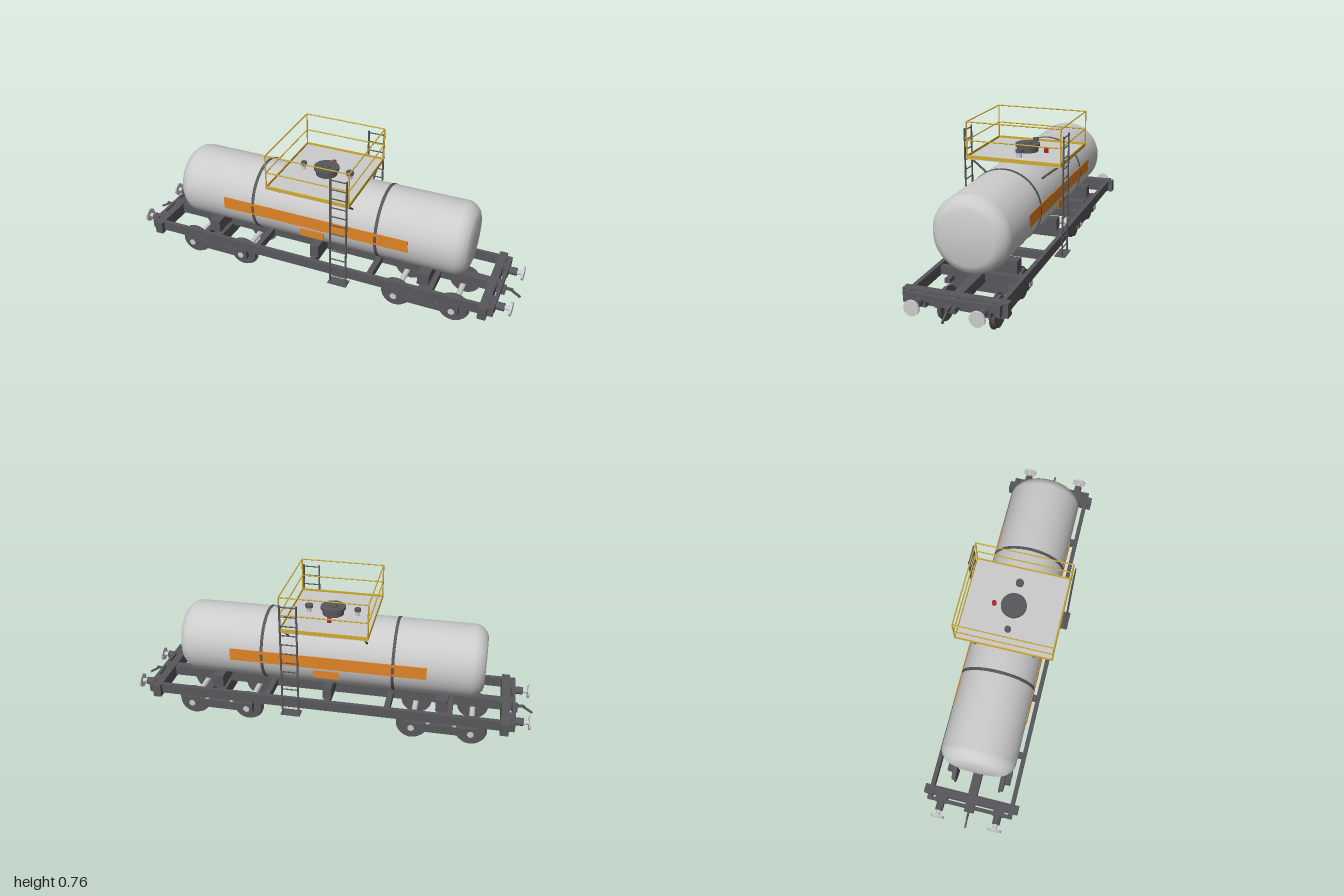
import * as THREE from 'three';
import { toCreasedNormals } from 'three/addons/utils/BufferGeometryUtils.js';

const mat = (color) => new THREE.MeshStandardMaterial({ color });

export function createModel() {
  const root = new THREE.Group();
  const grey = mat(0xcccccc), dark = mat(0x58585c), yellow = mat(0xd0ac30);
  const orange = mat(0xe08426), red = mat(0xb02828);

  const add = (name, geo, m, x = 0, y = 0, z = 0, parent = root) => {
    const mesh = new THREE.Mesh(geo, m);
    mesh.name = name;
    mesh.position.set(x, y, z);
    parent.add(mesh);
    return mesh;
  };
  // Box given by its limits on each axis
  const box = (name, m, x0, x1, y0, y1, z0, z1, parent) =>
    add(name, new THREE.BoxGeometry(x1 - x0, y1 - y0, z1 - z0), m,
      (x0 + x1) / 2, (y0 + y1) / 2, (z0 + z1) / 2, parent);
  // Round bar between two points
  const bar = (name, m, a, b, r, seg = 20, parent = root) => {
    const p = new THREE.Vector3(...a), d = new THREE.Vector3(...b).sub(p);
    const mesh = add(name, new THREE.CylinderGeometry(r, r, d.length(), seg), m, 0, 0, 0, parent);
    mesh.position.copy(p).addScaledVector(d, 0.5);
    mesh.quaternion.setFromUnitVectors(new THREE.Vector3(0, 1, 0), d.normalize());
    return mesh;
  };
  const group = (name) => {
    const g = new THREE.Group();
    g.name = name;
    root.add(g);
    return g;
  };
  const sides = [-1, 1];

  // Tank barrel with dished ends
  const half = [[0, 0.75], [0.125, 0.75], [0.145, 0.742], [0.165, 0.722], [0.175, 0.703], [0.178, 0.688]];
  const profile = [...half.map(([r, x]) => [r, -x]), ...half.slice().reverse()];
  const tankGeo = new THREE.LatheGeometry(profile.map(([r, x]) => new THREE.Vector2(r, x)), 64);
  add('tank', toCreasedNormals(tankGeo, 0.5), grey, 0, 0.404, 0).rotation.z = -Math.PI / 2;
  for (const s of sides) {
    bar('tankBand', dark, [s * 0.32 - 0.007, 0.404, 0], [s * 0.32 + 0.007, 0.404, 0], 0.181, 64);
    box('sideStripe', orange, -0.48, 0.48, 0.375, 0.437, s * 0.178 - 0.002, s * 0.178 + 0.002);
    box('sidePlate', orange, -0.062, 0.062, 0.325, 0.365, s * 0.18 - 0.001, s * 0.18 + 0.001);
  }

  // Saddles under the tank
  for (const [x, w] of [[-0.56, 0.028], [0, 0.022], [0.56, 0.028]])
    box('saddle', dark, x - w, x + w, 0.195, 0.259, -0.16, 0.16);

  // Underframe
  const frame = group('underframe');
  box('centreSill', dark, -0.9, 0.9, 0.155, 0.205, -0.022, 0.022, frame);
  for (const s of sides)
    box('sideSill', dark, -0.91, 0.91, 0.158, 0.208, s * 0.2 - 0.01, s * 0.2 + 0.01, frame);
  for (const x of [-0.6, -0.3, 0, 0.3, 0.6])
    box('crossMember', dark, x - 0.014, x + 0.014, 0.162, 0.2, -0.2, 0.2, frame);
  for (const s of sides) {
    box('endBeam', dark, s * 0.863 - 0.02, s * 0.863 + 0.02, 0.146, 0.209, -0.233, 0.233, frame);
    box('headstock', dark, s * 0.903 - 0.008, s * 0.903 + 0.008, 0.175, 0.205, -0.208, 0.208, frame);
  }

  // Buffers and coupling hooks
  for (const s of sides) {
    for (const z of [-0.142, 0.142]) {
      box('bufferBase', dark, s * 0.895 - 0.016, s * 0.895 + 0.016, 0.15, 0.205, z - 0.028, z + 0.028);
      bar('bufferSleeve', dark, [s * 0.9, 0.176, z], [s * 0.95, 0.176, z], 0.019);
      bar('bufferShaft', grey, [s * 0.94, 0.176, z], [s * 0.98, 0.176, z], 0.011);
      bar('bufferHead', grey, [s * 0.974, 0.176, z], [s * 0.984, 0.176, z], 0.034, 32);
    }
    box('couplerBlock', dark, s * 0.913 - 0.012, s * 0.913 + 0.012, 0.15, 0.176, -0.024, 0.024);
    box('couplerShank', dark, s * 0.935 - 0.025, s * 0.935 + 0.025, 0.168, 0.18, -0.005, 0.005);
    const hook = add('couplerHook', new THREE.BoxGeometry(0.055, 0.01, 0.008), dark, s * 0.974, 0.157, 0);
    hook.rotation.z = -s * 0.55;
  }

  // Bogies: two wheelsets each, side frames, springs, bolster
  const tread = [[0, -0.011], [0.07, -0.011], [0.073, 0.004], [0.079, 0.005], [0.079, 0.011], [0, 0.011]]
    .map(([r, y]) => new THREE.Vector2(r, y));
  const wheelGeo = toCreasedNormals(new THREE.LatheGeometry(tread, 40), 0.5);
  for (const c of [-0.565, 0.565]) {
    const bogie = group('bogie');
    box('bolster', dark, c - 0.03, c + 0.03, 0.098, 0.165, -0.14, 0.14, bogie);
    for (const s of sides) {
      box('sideFrame', dark, c - 0.165, c + 0.165, 0.066, 0.11, s * 0.146 - 0.013, s * 0.146 + 0.013, bogie);
      for (const d of [-0.065, 0.065])
        bar('spring', grey, [c + d, 0.108, s * 0.145], [c + d, 0.14, s * 0.145], 0.011, 16, bogie);
      box('springPlate', dark, c - 0.08, c + 0.08, 0.138, 0.158, s * 0.145 - 0.013, s * 0.145 + 0.013, bogie);
    }
    for (const x of [c - 0.145, c + 0.145]) {
      bar('axle', grey, [x, 0.08, -0.15], [x, 0.08, 0.15], 0.014, 20, bogie);
      for (const s of sides) {
        add('wheel', wheelGeo, dark, x, 0.079, s * 0.121, bogie).rotation.x = -s * Math.PI / 2;
        box('axleBox', dark, x - 0.032, x + 0.032, 0.062, 0.115, s * 0.147 - 0.014, s * 0.147 + 0.014, bogie);
        bar('axleCap', grey, [x, 0.082, s * 0.155], [x, 0.082, s * 0.164], 0.016, 20, bogie);
      }
    }
  }

  // Walkway deck with toe boards and railing
  const PX = 0.208, PZ = 0.233;
  const deck = group('platform');
  box('deck', grey, -PX, PX, 0.579, 0.589, -PZ, PZ, deck);
  for (const s of sides) {
    box('toeBoard', yellow, -PX, PX, 0.583, 0.6, s * PZ - 0.002, s * PZ + 0.002, deck);
    box('toeBoard', yellow, s * PX - 0.002, s * PX + 0.002, 0.583, 0.6, -PZ, PZ, deck);
    for (const y of [0.672, 0.761]) {
      bar('rail', yellow, [-PX, y, s * PZ], [PX, y, s * PZ], 0.003, 8, deck);
      bar('rail', yellow, [s * PX, y, -PZ], [s * PX, y, PZ], 0.003, 8, deck);
    }
    for (const t of sides) {
      bar('railPost', yellow, [s * PX, 0.585, t * PZ], [s * PX, 0.763, t * PZ], 0.0035, 8, deck);
      bar('platformBrace', dark, [s * 0.19, 0.58, t * 0.218], [s * 0.19, 0.51, t * 0.13], 0.005, 10, deck);
    }
  }

  // Manhole, valves and relief valve on top
  bar('manholeNeck', dark, [0, 0.57, 0], [0, 0.616, 0], 0.052, 40);
  bar('manholeLid', dark, [0, 0.616, 0], [0, 0.629, 0], 0.061, 40);
  bar('manholeKnob', dark, [0, 0.629, 0], [0, 0.635, 0], 0.022, 24);
  for (const x of [-0.12, 0.12]) {
    const r = x > 0 ? 0.019 : 0.015;
    bar('valveStem', grey, [x, 0.57, 0], [x, 0.615, 0], r * 0.65);
    bar('valveCap', dark, [x, 0.612, 0], [x, 0.627, 0], r);
  }
  bar('reliefValve', red, [0, 0.57, -0.096], [0, 0.609, -0.096], 0.011);

  // Ladders on both sides with a foot step
  for (const s of sides) {
    const ladder = group('ladder');
    const z = s * 0.245;
    for (const x of [0.123, 0.203])
      box('ladderStile', dark, x - 0.004, x + 0.004, 0.142, 0.728, z - 0.003, z + 0.003, ladder);
    for (let i = 0; i < 12; i++) {
      const y = 0.185 + i * 0.0485;
      bar('rung', dark, [0.123, y, z], [0.203, y, z], 0.003, 8, ladder);
    }
    box('footStep', dark, 0.115, 0.211, 0.141, 0.146, s * 0.235 - 0.026, s * 0.235 + 0.026, ladder);
  }
  return root;
}
